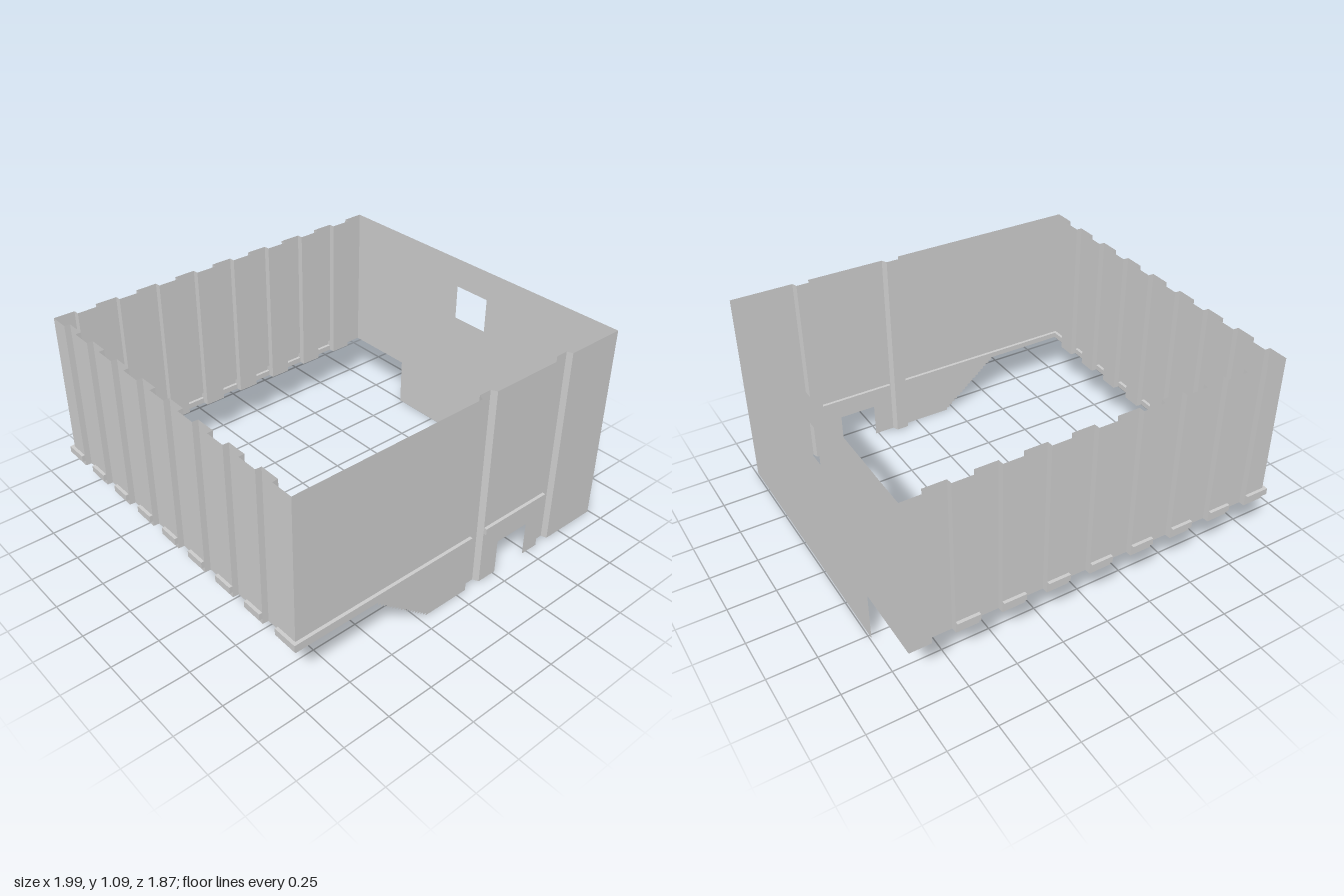
import * as THREE from 'three';

const TOP = 1.09, BASE = 0.27, LEDGE0 = 0.3, LEDGE1 = 0.335;
const OUT = 0.017, DEPTH = 0.03;
const FRONT = 0.92, LEFT = -0.983, RIGHT = 0.992;

export function createModel() {
  const model = new THREE.Group();
  const mat = new THREE.MeshStandardMaterial({ color: 0xcccccc, flatShading: true, side: THREE.DoubleSide });

  const add = (parent, name, geometry) => {
    const mesh = new THREE.Mesh(geometry, mat);
    mesh.name = name;
    parent.add(mesh);
    return mesh;
  };

  // one mesh from a list of four-cornered faces
  const quads = (faces) => {
    const pos = [];
    for (const [a, b, c, d] of faces) pos.push(...a, ...b, ...c, ...a, ...c, ...d);
    const g = new THREE.BufferGeometry();
    g.setAttribute('position', new THREE.Float32BufferAttribute(pos, 3));
    g.computeVertexNormals();
    return g;
  };

  const sheet = (a, b, y0, y1, z = 0) => [[a, y0, z], [b, y0, z], [b, y1, z], [a, y1, z]];
  const outline = (pts) => new THREE.Shape(pts.map(([x, y]) => new THREE.Vector2(x, y)));

  // hollow ledge folded outwards; m0 and m1 mark mitred corner ends
  const ledge = (wall, a, b, m0, m1) => {
    const p = a - (m0 ? OUT : 0), q = b + (m1 ? OUT : 0);
    const faces = [
      sheet(p, q, LEDGE0, LEDGE1, OUT),
      [[a, LEDGE1, 0], [p, LEDGE1, OUT], [q, LEDGE1, OUT], [b, LEDGE1, 0]],
      [[a, LEDGE0, 0], [b, LEDGE0, 0], [q, LEDGE0, OUT], [p, LEDGE0, OUT]],
    ];
    if (!m0) faces.push([[a, LEDGE0, 0], [a, LEDGE0, OUT], [a, LEDGE1, OUT], [a, LEDGE1, 0]]);
    if (!m1) faces.push([[b, LEDGE0, OUT], [b, LEDGE0, 0], [b, LEDGE1, 0], [b, LEDGE1, OUT]]);
    add(wall, 'ledge', quads(faces));
  };

  // groove pressed inwards, its sides leaning by s
  const groove = (wall, a, b, y0, s) => {
    const p = a + s, q = b - s, d = -DEPTH;
    add(wall, 'groove', quads([
      [[a, y0, 0], [p, y0, d], [p, TOP, d], [a, TOP, 0]],
      sheet(p, q, y0, TOP, d),
      [[q, y0, d], [b, y0, 0], [b, TOP, 0], [q, TOP, d]],
    ]));
  };

  const newWall = (name, x, z, angle) => {
    const wall = new THREE.Group();
    wall.name = name;
    wall.position.set(x, 0, z);
    wall.rotation.y = angle;
    model.add(wall);
    return wall;
  };

  // corrugated wall: outer panels [start, end, hasLedge] with grooves between
  const corrugated = (wall, panels, mitreStart) => {
    panels.forEach(([a, b, hasLedge], i) => {
      const last = i === panels.length - 1;
      if (hasLedge) {
        add(wall, 'panel', quads([sheet(a, b, BASE, LEDGE0), sheet(a, b, LEDGE1, TOP)]));
        ledge(wall, a, b, i === 0 && mitreStart, last);
      } else {
        add(wall, 'panel', quads([sheet(a, b, BASE, TOP)]));
      }
      if (!last) groove(wall, b, panels[i + 1][0], BASE, 0.002);
    });
  };

  // left wall, running from back to front
  const leftPanels = [];
  for (let i = 0; i < 9; i++) {
    const c = (i - 4) * 0.216 - 0.006;
    leftPanels.push([i === 0 ? -FRONT : c - 0.054, i === 8 ? FRONT : c + 0.054, true]);
  }
  corrugated(newWall('leftWall', LEFT, 0, -Math.PI / 2), leftPanels, true);

  // back wall, running from +x to -x
  const backPanels = [[-RIGHT, -0.88, false]];
  for (let i = 0; i < 8; i++) {
    const c = -0.705 + i * 0.2335;
    backPanels.push([c - 0.058, i === 7 ? -LEFT : c + 0.058, true]);
  }
  corrugated(newWall('backWall', 0, -FRONT, Math.PI), backPanels, false);

  // front wall with two grooves, a stepped lower edge and a doorway
  const front = newWall('frontWall', 0, FRONT, 0);
  const [g0, g1, g2, g3] = [0.057, 0.153, 0.573, 0.66];
  const stair = [[LEFT, LEDGE0], [LEFT, BASE], [-0.52, BASE]];
  const steps = 18, dx = 0.33 / steps, dy = BASE / steps;
  for (let i = 0; i < steps; i++) {
    stair.push([-0.52 + i * dx, BASE - (i + 1) * dy], [-0.52 + (i + 1) * dx, BASE - (i + 1) * dy]);
  }
  stair.push([g0, 0], [g0, LEDGE0]);
  const door = [[g1, LEDGE0], [g1, 0], [0.265, 0], [0.265, 0.19], [0.47, 0.19], [0.47, 0], [g2, 0], [g2, LEDGE0]];
  add(front, 'steppedLowerPanel', new THREE.ShapeGeometry(outline(stair)));
  add(front, 'doorwayPanel', new THREE.ShapeGeometry(outline(door)));
  add(front, 'upperPanels', quads([sheet(LEFT, g0, LEDGE1, TOP), sheet(g1, g2, LEDGE1, TOP)]));
  add(front, 'endPanel', quads([sheet(g3, RIGHT, 0, TOP)]));
  ledge(front, LEFT, g0, true, false);
  ledge(front, g1, g2, false, false);
  groove(front, g0, g1, 0, 0.014);
  groove(front, g2, g3, 0, 0.01);

  // flat right wall with a window and a notch at the back (local x = -z)
  const right = newWall('rightWall', RIGHT, 0, Math.PI / 2);
  const side = outline([[-FRONT, 0], [0.52, 0], [0.52, BASE], [FRONT, BASE], [FRONT, TOP], [-FRONT, TOP]]);
  side.holes.push(outline([[-0.098, 0.74], [-0.098, 0.93], [0.115, 0.93], [0.115, 0.74]]));
  add(right, 'windowPanel', new THREE.ShapeGeometry(side));

  return model;
}
